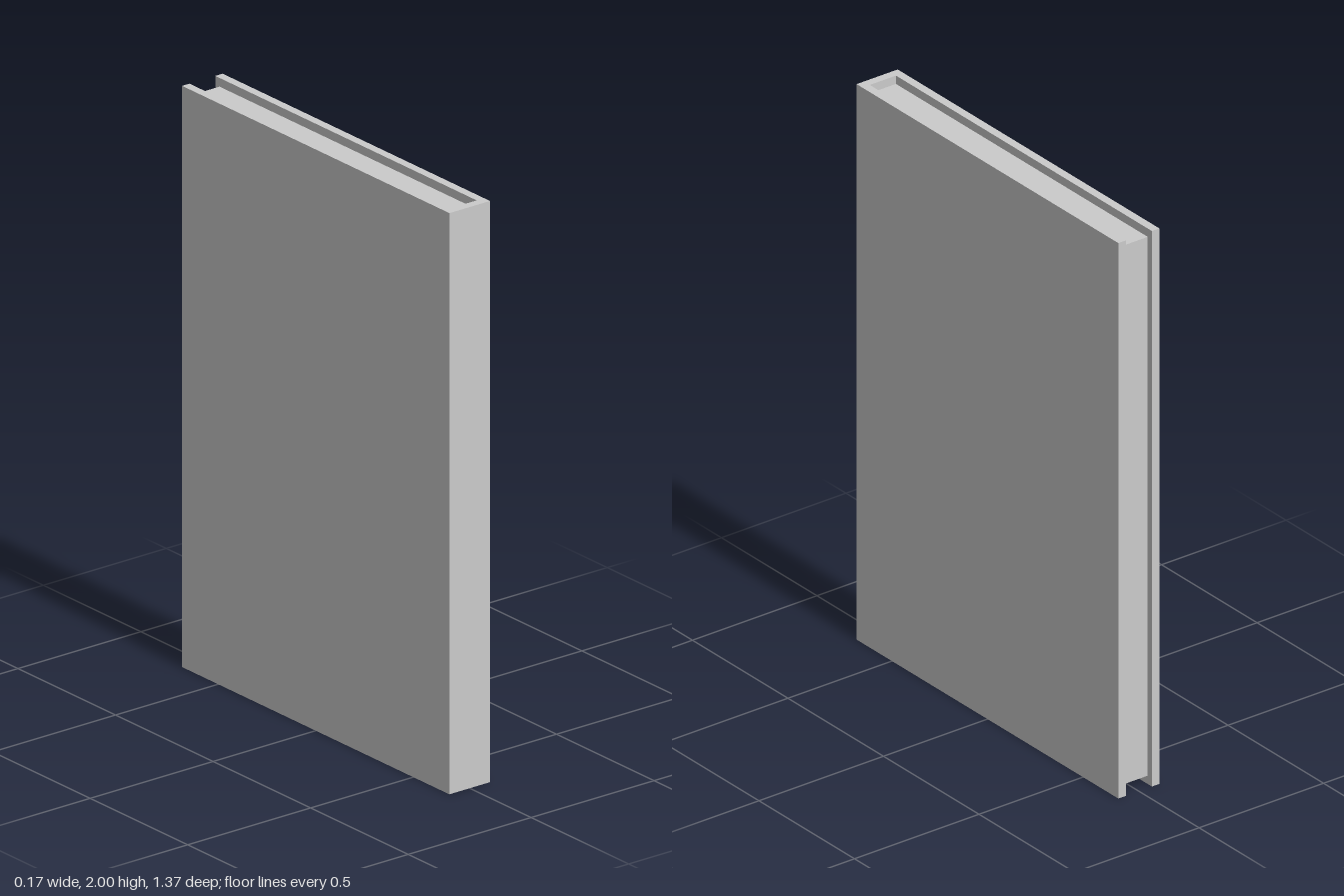
import * as THREE from 'three';

const W = 0.165, H = 2, D = 1.37; // overall thickness, height, depth
const BOARD = 0.03;               // cover board and spine thickness
const FORE = 0.022, INSET = 0.03; // page setback at the fore edge and at top/bottom

export function createModel() {
  const book = new THREE.Group();
  book.name = 'book';
  const material = new THREE.MeshStandardMaterial({ color: 0xcccccc, flatShading: true });

  // Cover: U-shaped section (two boards joined by the front spine), extruded upward
  const x = W / 2, z = D / 2, xi = x - BOARD, zi = z - BOARD;
  const section = new THREE.Shape([
    [-x, -z], [x, -z], [x, z], [xi, z], [xi, -zi], [-xi, -zi], [-xi, z], [-x, z],
  ].map(([px, py]) => new THREE.Vector2(px, py)));
  const coverGeometry = new THREE.ExtrudeGeometry(section, { depth: H, bevelEnabled: false });
  coverGeometry.rotateX(-Math.PI / 2);
  const cover = new THREE.Mesh(coverGeometry, material);
  cover.name = 'cover';

  // Page block, held between the boards and set back on its three open edges
  const pageDepth = D - BOARD - FORE;
  const pages = new THREE.Mesh(
    new THREE.BoxGeometry(xi * 2, H - INSET * 2, pageDepth), material);
  pages.name = 'pageBlock';
  pages.position.set(0, H / 2, zi - pageDepth / 2);

  book.add(cover, pages);
  return book;
}
